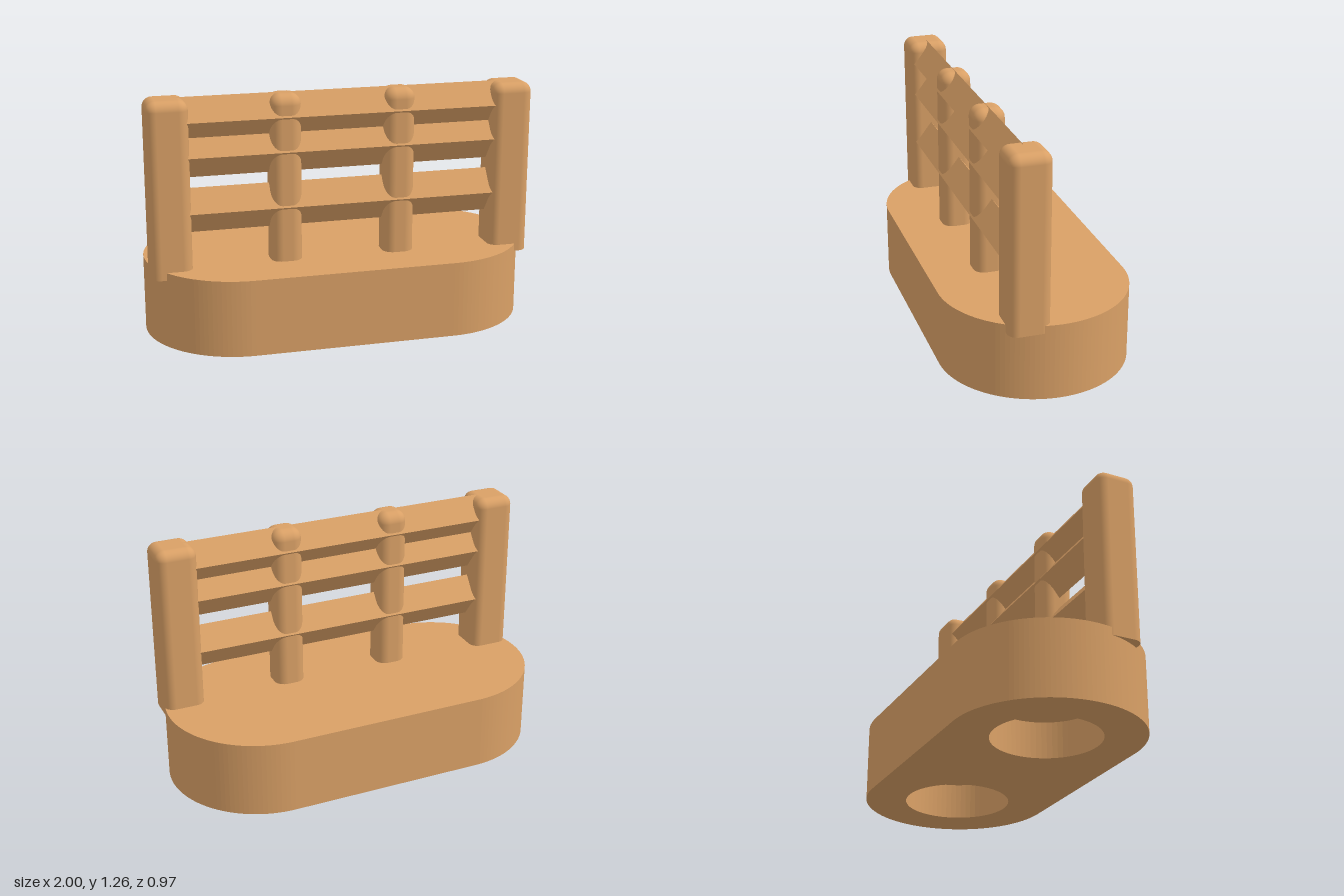
import * as THREE from 'three';
import { RoundedBoxGeometry } from 'three/addons/geometries/RoundedBoxGeometry.js';

const RADIUS = 0.485;         // rounded ends of the base
const END_X = 1 - RADIUS;     // centre of each rounded end
const BASE_TOP = 0.395;
const SOCKET_DEPTH = 0.19;
const FENCE_Z = 0.163;
const FENCE_TOP = 1.255;

const wood = new THREE.MeshStandardMaterial({ color: 0xd9a066 });
wood.name = 'wood';

function addMesh(parent, name, geometry) {
  const mesh = new THREE.Mesh(geometry, wood);
  mesh.name = name;
  parent.add(mesh);
  return mesh;
}

// Stadium outline, optionally with the two round sockets cut out
function stadium(withSockets) {
  const shape = new THREE.Shape();
  shape.absarc(END_X, 0, RADIUS, -Math.PI / 2, Math.PI / 2, false);
  shape.absarc(-END_X, 0, RADIUS, Math.PI / 2, Math.PI * 1.5, false);
  shape.closePath();
  if (withSockets) {
    for (const side of [-1, 1]) {
      const hole = new THREE.Path();
      hole.absarc(side * END_X, 0, 0.274, 0, Math.PI * 2, true);
      shape.holes.push(hole);
    }
  }
  return shape;
}

function slab(bottom, top, withSockets) {
  const geometry = new THREE.ExtrudeGeometry(stadium(withSockets), {
    depth: top - bottom, bevelEnabled: false, curveSegments: 32,
  });
  return geometry.rotateX(-Math.PI / 2).translate(0, bottom, 0);
}

// Upright with rounded top and vertical edges and a flat, sharp foot
function post(width, depth, bottom, top, radius) {
  const height = top - bottom + radius;
  const geometry = new RoundedBoxGeometry(width, height, depth, 5, radius);
  geometry.translate(0, top - height / 2, 0);
  const { position, normal } = geometry.attributes;
  for (let i = 0; i < position.count; i++) {
    if (position.getY(i) < bottom - 1e-4) {
      position.setY(i, bottom);
      normal.setXYZ(i, 0, -1, 0);
    }
  }
  return geometry;
}

// Rail with a diamond cross-section, running along x
function rail(length, halfHeight, halfDepth) {
  const shape = new THREE.Shape();
  shape.moveTo(halfDepth, 0);
  shape.lineTo(0, halfHeight);
  shape.lineTo(-halfDepth, 0);
  shape.lineTo(0, -halfHeight);
  shape.closePath();
  const geometry = new THREE.ExtrudeGeometry(shape, { depth: length, bevelEnabled: false });
  return geometry.translate(0, 0, -length / 2).rotateY(Math.PI / 2);
}

export function createModel() {
  const model = new THREE.Group();
  model.name = 'fenceOnBase';

  // Base: lower layer holds the sockets, upper layer closes them
  const base = new THREE.Group();
  base.name = 'base';
  addMesh(base, 'socketLayer', slab(0, SOCKET_DEPTH, true));
  addMesh(base, 'topLayer', slab(SOCKET_DEPTH, BASE_TOP, false));
  model.add(base);

  // Fence
  const fence = new THREE.Group();
  fence.name = 'fence';
  fence.position.z = FENCE_Z;
  model.add(fence);

  for (const [side, name] of [[-1, 'right'], [1, 'left']]) {
    addMesh(fence, name + 'EndPost', post(0.21, 0.21, 0.355, FENCE_TOP, 0.05)).position.x = side * 0.887;
    addMesh(fence, name + 'MiddlePost', post(0.16, 0.163, 0.355, FENCE_TOP, 0.055)).position.x = side * 0.295;
  }

  [['lowerRail', 0.68], ['middleRail', 0.965], ['topRail', 1.142]].forEach(([name, y]) => {
    addMesh(fence, name, rail(1.7, 0.115, 0.088)).position.y = y;
  });

  return model;
}
